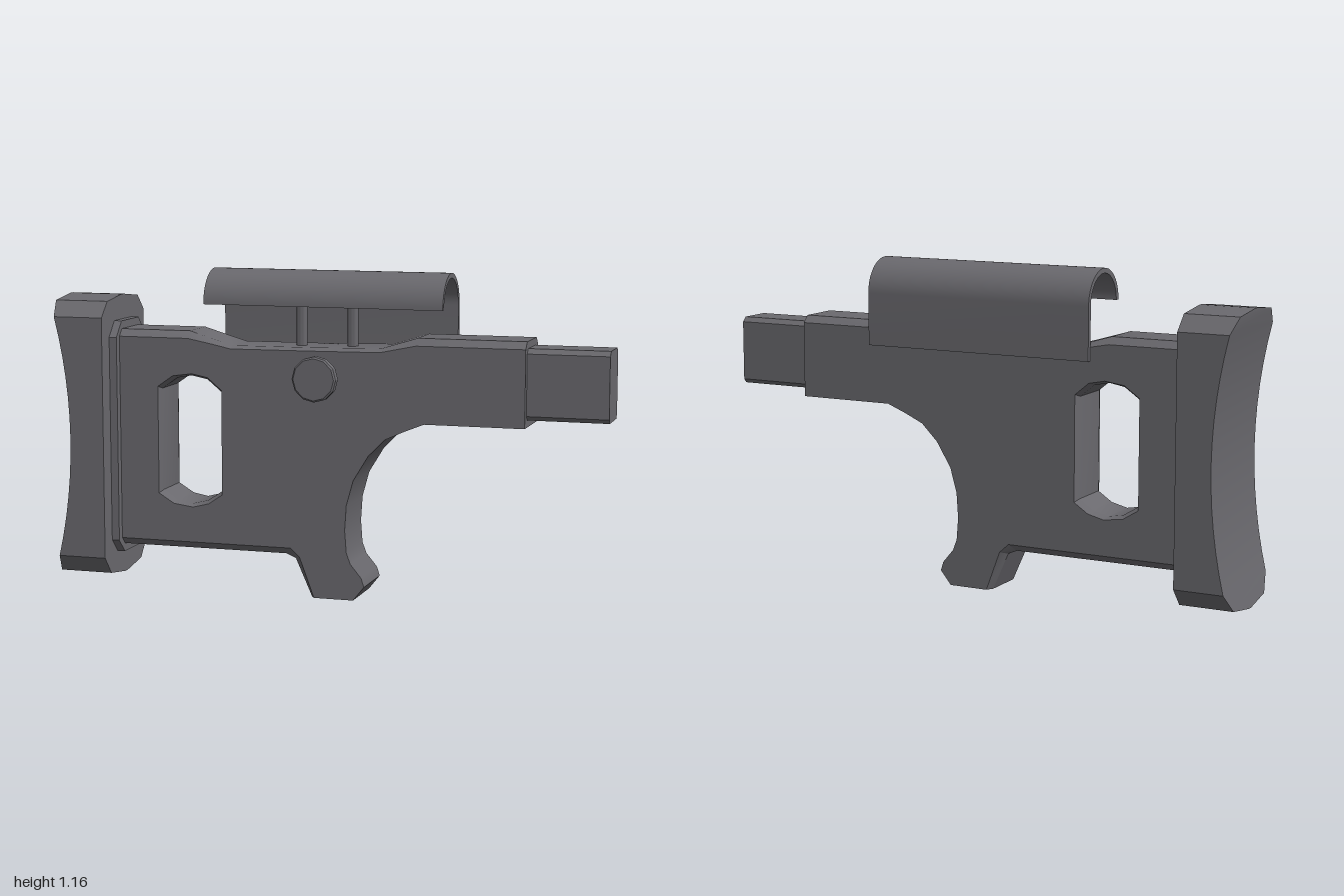
import * as THREE from 'three';
import { toCreasedNormals } from 'three/addons/utils/BufferGeometryUtils.js';

const polymer = new THREE.MeshStandardMaterial({ color: 0x6a696e });
polymer.name = 'dark grey polymer';

function part(name, geometry, crease = 0.45) {
  const mesh = new THREE.Mesh(toCreasedNormals(geometry, crease), polymer);
  mesh.name = name;
  return mesh;
}

// Block made of rows [y, half width], from xBack(y) to xFront
function rowBlock(rows, xBack, xFront) {
  const n = rows.length - 1;
  const g = new THREE.BoxGeometry(1, 1, 1, 1, n, 1);
  const p = g.attributes.position;
  for (let i = 0; i < p.count; i++) {
    const [y, w] = rows[Math.round((p.getY(i) + 0.5) * n)];
    p.setXYZ(i, p.getX(i) < 0 ? xBack(y) : xFront, y, Math.sign(p.getZ(i)) * w);
  }
  return g;
}

// Side plate whose outer faces are inset: points are [x, y, insetX, insetY]
function chamferedPlate(outline, hole, halfWidth, chamfer) {
  const vec = (q) => new THREE.Vector2(q[0], q[1]);
  const shape = new THREE.Shape(outline.map(vec));
  shape.holes.push(new THREE.Path(hole.map(vec)));
  const g = new THREE.ExtrudeGeometry(shape, { depth: 3, steps: 3, bevelEnabled: false });
  const key = (x, y) => x.toFixed(3) + ',' + y.toFixed(3);
  const inset = new Map([...outline, ...hole].map((q) => [key(q[0], q[1]), q]));
  const layers = [-halfWidth, chamfer - halfWidth, halfWidth - chamfer, halfWidth];
  const p = g.attributes.position;
  for (let i = 0; i < p.count; i++) {
    const layer = Math.round(p.getZ(i));
    const q = inset.get(key(p.getX(i), p.getY(i)));
    if (q && (layer === 0 || layer === 3)) p.setXY(i, p.getX(i) + (q[2] || 0), p.getY(i) + (q[3] || 0));
    p.setZ(i, layers[layer]);
  }
  return g;
}

export function createModel() {
  const model = new THREE.Group();
  const stock = new THREE.Group();
  stock.name = 'stock';
  stock.rotation.y = -0.011;
  stock.position.z = 0.005;
  model.add(stock);

  // Main body with grip: chamfered along top and rear underside only
  const outline = [
    [-0.79, 0.15, 0, 0.025], [-0.15, 0.15, 0.022, 0.025], [-0.115, 0.135, 0.022, 0.008],
    [-0.055, 0, 0.015, 0],
    [0.105, 0], [0.145, 0.05], [0.135, 0.082], [0.095, 0.13], [0.08, 0.17], [0.074, 0.25],
    [0.08, 0.34], [0.105, 0.43], [0.16, 0.52], [0.22, 0.58], [0.29, 0.612], [0.36, 0.64],
    [0.715, 0.64],
    [0.715, 0.937, 0, -0.025], [0.33, 0.937, 0, -0.025], [0.2, 0.897, 0, -0.012],
    [-0.05, 0.892, 0, -0.01], [-0.35, 0.89, 0, -0.01], [-0.42, 0.91, 0, -0.015],
    [-0.51, 0.937, 0, -0.025], [-0.79, 0.937, 0, -0.025],
  ];
  const hole = [
    [-0.617, 0.357], [-0.56, 0.322], [-0.505, 0.312], [-0.445, 0.327], [-0.393, 0.362],
    [-0.393, 0.722], [-0.445, 0.765], [-0.505, 0.777], [-0.56, 0.767], [-0.617, 0.727],
  ].map(([x, y]) => [x, y, x < -0.505 ? -0.009 : 0.009, y < 0.54 ? -0.009 : 0.009]);
  stock.add(part('body', chamferedPlate(outline, hole, 0.102, 0.025)));

  // Butt pad, concave at the back
  const padRows = [[0.03, 0.01], [0.05, 0.142], [0.115, 0.197]];
  for (let i = 1; i < 12; i++) padRows.push([0.115 + (0.87 * i) / 12, 0.197]);
  padRows.push([0.985, 0.197], [1.04, 0.142], [1.055, 0.01]);
  const hollow = (y) => Math.max(-1, -0.928 - 0.072 * ((y - 0.54) / 0.505) ** 2);
  stock.add(part('buttPad', rowBlock(padRows, hollow, -0.8), 0.3));

  // Collar between pad and body
  stock.add(part('collar', rowBlock(
    [[0.12, 0.08], [0.17, 0.13], [0.91, 0.13], [0.965, 0.08]], () => -0.82, -0.772)));

  // Front tenon
  stock.add(part('frontTenon', rowBlock(
    [[0.665, 0.064], [0.68, 0.077], [0.895, 0.077], [0.912, 0.06]], () => 0.69, 1)));

  // Cheek rest: half pipe with a long skirt on the far side
  const R = 0.121, r = 0.103, cy = 1.038;
  const rest = new THREE.Shape();
  rest.moveTo(R, 0.85);
  rest.lineTo(R, cy);
  rest.absarc(0, cy, R, 0, Math.PI, false);
  rest.lineTo(-r, cy);
  rest.absarc(0, cy, r, Math.PI, 0, true);
  rest.lineTo(r, 0.85);
  const restGeo = new THREE.ExtrudeGeometry(rest, { depth: 0.87, bevelEnabled: false, curveSegments: 16 });
  restGeo.rotateY(Math.PI / 2).translate(-0.44, 0, 0.005);
  stock.add(part('cheekRest', restGeo));

  // Posts carrying the cheek rest
  for (const x of [-0.113, 0.075]) {
    const post = part('cheekPost', new THREE.CylinderGeometry(0.02, 0.02, 0.29, 12), 0.7);
    post.position.set(x, 1.0, 0.005);
    stock.add(post);
  }

  // Clamp knob on the near side
  const profile = [[0, 0], [0.03, 0], [0.03, 0.025], [0.055, 0.025], [0.055, 0.04],
    [0.08, 0.04], [0.08, 0.068], [0.074, 0.073], [0, 0.073]].map(([a, b]) => new THREE.Vector2(a, b));
  const knob = part('clampKnob', new THREE.LatheGeometry(profile, 12).rotateX(Math.PI / 2), 0.3);
  knob.position.set(-0.02, 0.79, 0.097);
  stock.add(knob);

  return model;
}
